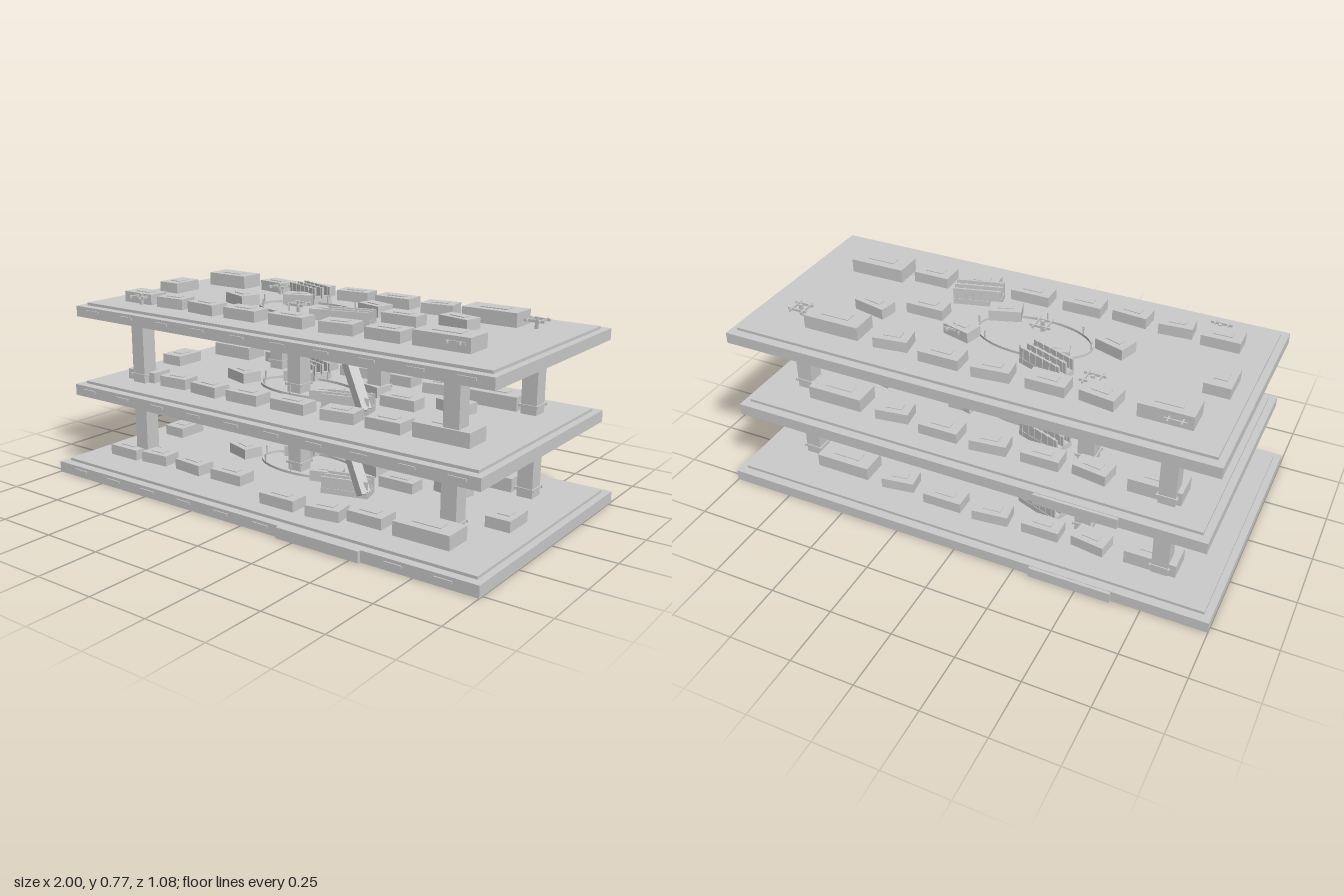
import * as THREE from 'three';

const mat = new THREE.MeshStandardMaterial({ color: 0xcccccc, flatShading: true });
const rad = THREE.MathUtils.degToRad;

function box(parent, name, w, h, d, x, y, z, deg = 0) {
  // y is the underside of the box
  const m = new THREE.Mesh(new THREE.BoxGeometry(w, h, d), mat);
  m.name = name;
  m.position.set(x, y + h / 2, z);
  m.rotation.y = rad(deg);
  parent.add(m);
  return m;
}

function beam(parent, name, a, b, w, t) {
  // sloping box from point a to point b
  const len = a.distanceTo(b);
  const m = new THREE.Mesh(new THREE.BoxGeometry(w, t, len), mat);
  m.name = name;
  m.position.copy(a).add(b).multiplyScalar(0.5);
  m.lookAt(b);
  parent.add(m);
}

// Storeys: slab half width, front and back edges, slab underside and raised floor
const floors = [
  { hx: 1.0, zf: 0.52, zb: -0.527, y: 0, t: 0.045 },
  { hx: 0.953, zf: 0.45, zb: -0.497, y: 0.328, t: 0.046 },
  { hx: 0.967, zf: 0.41, zb: -0.49, y: 0.652, t: 0.044 },
];
const RAISE = 0.011;

// Shop units: x, z, width, depth, turn in degrees
const backRow = [
  [-0.725, -0.3, 0.2, 0.107, 0], [-0.485, -0.315, 0.135, 0.085, -8], [-0.29, -0.322, 0.15, 0.08, 0],
  [-0.08, -0.33, 0.145, 0.08, 6], [0.125, -0.325, 0.162, 0.085, 0], [0.34, -0.305, 0.135, 0.085, 8],
  [0.59, -0.29, 0.232, 0.11, 0],
];
const middle = [
  [-0.835, -0.06, 0.1, 0.135, 0], [-0.415, 0.005, 0.125, 0.085, -18], [-0.225, -0.13, 0.12, 0.075, 20],
  [0.145, -0.135, 0.12, 0.075, -15], [0.05, 0.05, 0.125, 0.07, 18], [0.335, -0.045, 0.155, 0.075, 0],
  [0.53, -0.12, 0.14, 0.075, -12],
];
const frontRow = [
  [-0.76, 0.215, 0.15, 0.09, 0], [-0.58, 0.225, 0.13, 0.08, 4], [-0.4, 0.235, 0.14, 0.08, -5],
  [-0.205, 0.23, 0.155, 0.085, 0], [0.01, 0.22, 0.16, 0.08, 0], [0.23, 0.21, 0.14, 0.085, 8],
  [0.43, 0.195, 0.15, 0.095, 0], [0.66, 0.17, 0.23, 0.115, 0],
];
const groundFront = [
  [-0.8, 0.3, 0.15, 0.09, 0], [-0.64, 0.29, 0.13, 0.08, 4], [-0.45, 0.285, 0.14, 0.08, -5],
  [-0.25, 0.28, 0.155, 0.085, 0], [0.08, 0.37, 0.16, 0.08, 0], [0.28, 0.36, 0.14, 0.085, 8],
  [0.44, 0.31, 0.15, 0.095, 0], [0.685, 0.31, 0.23, 0.12, 0], [0.84, 0.04, 0.1, 0.135, 0],
];
const shift = (row, dx, dz) => row.map(([x, z, ...rest]) => [x + dx, z + dz, ...rest]);
const layouts = [
  [...shift(backRow, 0, -0.02), ...middle, ...groundFront],
  [...shift(backRow, 0.01, -0.01), ...middle, ...shift(frontRow, 0.02, 0.02)],
  [...backRow, ...middle, ...frontRow],
];

const columns = [
  [-0.765, -0.345], [-0.425, -0.25], [0.77, -0.27], [0.16, -0.145], [-0.12, 0.012], [-0.73, 0.27], [0.715, 0.205],
];

function addShops(parent, list, y) {
  const g = new THREE.Group();
  g.name = 'shops';
  for (const [x, z, w, d, deg] of list) {
    const h = w * d > 0.02 ? 0.055 : 0.043;
    box(g, 'shopUnit', w, h, d, x, y, z, deg);
    box(g, 'shopRoofPanel', w * 0.5, 0.003, d * 0.4, x, y + h, z, deg);
  }
  parent.add(g);
}

// Two stair flights with three side rails on a base
function addEscalator(parent, x, z, deg, y) {
  const g = new THREE.Group();
  g.name = 'escalator';
  g.position.set(x, y, z);
  g.rotation.y = rad(deg);
  box(g, 'escalatorBase', 0.19, 0.022, 0.085, 0, 0, 0);
  for (const s of [-1, 0, 1]) {
    box(g, 'escalatorRail', 0.19, 0.066, 0.008, 0, 0, s * 0.036);
    for (let i = 0; i < 6; i++) box(g, 'railPost', 0.006, 0.067, 0.014, -0.08 + i * 0.032, 0, s * 0.036);
  }
  for (const s of [-1, 1])
    for (let i = 0; i < 8; i++) box(g, 'step', 0.014, 0.024 + (i % 2) * 0.008, 0.024, -0.084 + i * 0.024, 0, s * 0.018);
  parent.add(g);
}

// Thin oval kerb around the central court
function addCourt(parent, y) {
  const s = new THREE.Shape();
  s.absellipse(0, 0, 0.232, 0.13, 0, Math.PI * 2);
  const hole = new THREE.Path();
  hole.absellipse(0, 0, 0.224, 0.122, 0, Math.PI * 2);
  s.holes.push(hole);
  const geo = new THREE.ExtrudeGeometry(s, { depth: 0.01, bevelEnabled: false, curveSegments: 32 });
  const ring = new THREE.Mesh(geo.rotateX(-Math.PI / 2), mat);
  ring.name = 'courtKerb';
  ring.position.set(-0.11, y, -0.043);
  parent.add(ring);
  for (let i = 0; i < 8; i++) {
    const a = (i / 8) * Math.PI * 2;
    box(parent, 'courtPost', 0.005, 0.04, 0.005, -0.11 + 0.228 * Math.cos(a), y, -0.043 + 0.126 * Math.sin(a));
  }
}

export function createModel() {
  const model = new THREE.Group();
  model.name = 'threeStoreyArcade';

  floors.forEach((f, i) => {
    const floor = new THREE.Group();
    floor.name = 'storey' + (i + 1);
    model.add(floor);

    // Slab with raised walking surface
    const zc = (f.zf + f.zb) / 2, depth = f.zf - f.zb;
    box(floor, 'slab', f.hx * 2, f.t, depth, 0, f.y, zc);
    box(floor, 'raisedFloor', f.hx * 2 - 0.055, RAISE, depth - 0.07, 0, f.y + f.t, zc);
    const top = f.y + f.t + RAISE;

    // Edge lights along the front, entrance ledges front and back
    for (let k = 0; k < 10; k++)
      box(floor, 'edgeLight', 0.07, 0.01, 0.01, -0.87 + k * 0.193, f.y + 0.023, f.zf);
    if (i === 0) box(floor, 'frontEntrance', 0.36, 0.043, 0.03, 0.36, 0.002, 0.52);
    if (i < 2) box(floor, 'backEntrance', 0.32, f.t - 0.004, 0.026, -0.475, f.y + 0.002, f.zb);

    addShops(floor, layouts[i], top);
    addCourt(floor, top);
    addEscalator(floor, -0.235, -0.215, -20, top);
    addEscalator(floor, 0.2, 0.12, 15, top);

    // Columns up to the next slab, with four sign bars around each
    const next = floors[i + 1];
    for (const [x, z] of columns) {
      if (next) box(floor, 'column', 0.064, next.y - top, 0.066, x, top, z);
      else box(floor, 'signPost', 0.012, 0.045, 0.012, x, top, z);
      for (const s of [-1, 1]) {
        const o = next ? 0.035 : 0.025;
        box(floor, 'signBar', 0.082, 0.01, 0.005, x, top + 0.028, z + s * o);
        box(floor, 'signBar', 0.005, 0.01, 0.082, x + s * o, top + 0.028, z);
      }
    }

    // Paired sloping flights to the next storey
    if (next)
      for (const s of [-1, 1])
        for (const k of [-1, 1]) {
          const o = k * 0.014;
          const a = new THREE.Vector3(s * 0.29, top + 0.02, (s > 0 ? 0.14 : -0.165) + o);
          const b = new THREE.Vector3(s * 0.145, next.y + 0.01, (s > 0 ? 0.095 : -0.105) + o);
          beam(floor, 'slopingFlight', a, b, 0.022, 0.036);
        }
  });

  return model;
}
